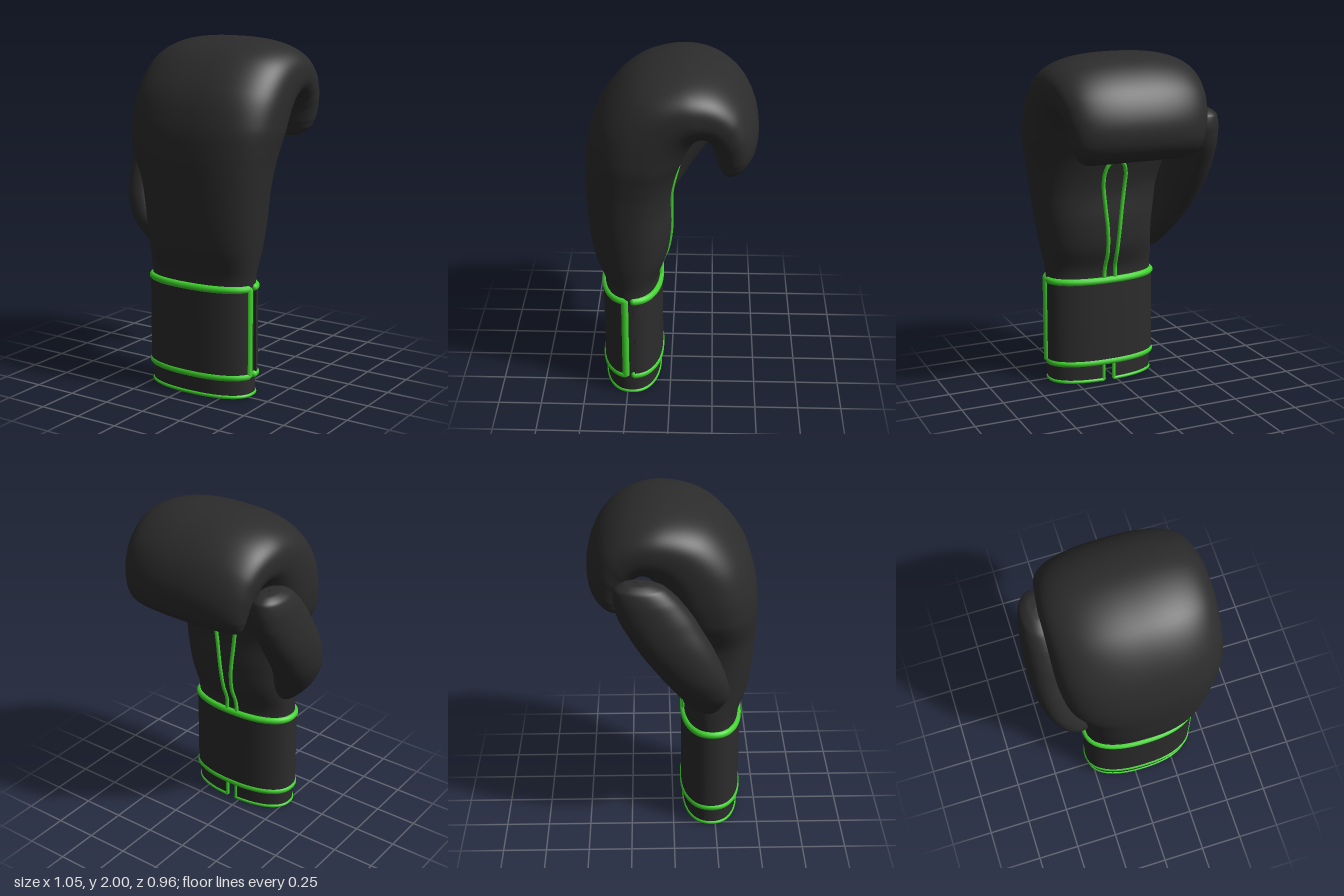
import * as THREE from 'three';
import { toCreasedNormals } from 'three/addons/utils/BufferGeometryUtils.js';

const V = (x, y, z) => new THREE.Vector3(x, y, z);

// unit superellipse point at angle a
function superEllipse(a, n) {
  const c = Math.cos(a), s = Math.sin(a);
  const r = Math.pow(Math.abs(c) ** n + Math.abs(s) ** n, -1 / n);
  return [c * r, s * r];
}

// closed skin over rings: fn(angle, v) -> Vector3
function loft(fn, nu, nv) {
  const pos = [], idx = [];
  for (let j = 0; j <= nv; j++)
    for (let i = 0; i < nu; i++) pos.push(...fn((i / nu) * Math.PI * 2, j / nv).toArray());
  for (let j = 0; j < nv; j++)
    for (let i = 0; i < nu; i++) {
      const k = (i + 1) % nu;
      const a = j * nu + i, b = a + nu, c = j * nu + k, d = c + nu;
      idx.push(a, b, c, c, b, d);
    }
  const g = new THREE.BufferGeometry();
  g.setAttribute('position', new THREE.Float32BufferAttribute(pos, 3));
  g.setIndex(idx);
  g.computeVertexNormals();
  return g;
}

// hand sections: back z, back y, palm z, palm y, half width, centre x, squareness
const HAND = [
  [0.385, 0.60, 0.065, 0.60, 0.325, 0.055, 2.3],
  [0.39, 0.70, 0.065, 0.70, 0.33, 0.057, 2.3],
  [0.44, 0.85, 0.015, 0.85, 0.345, 0.07, 2.35],
  [0.465, 1.00, 0.0, 1.00, 0.36, 0.078, 2.4],
  [0.477, 1.20, 0.0, 1.20, 0.385, 0.08, 2.45],
  [0.48, 1.39, -0.04, 1.37, 0.436, 0.058, 2.5],
  [0.46, 1.56, -0.085, 1.48, 0.458, 0.06, 2.5],
  [0.385, 1.75, -0.125, 1.56, 0.462, 0.06, 2.5],
  [0.20, 1.935, -0.155, 1.60, 0.46, 0.06, 2.5],
  [-0.05, 2.0, -0.175, 1.615, 0.455, 0.058, 2.5],
  [-0.25, 1.96, -0.19, 1.61, 0.44, 0.055, 2.5],
  [-0.40, 1.84, -0.205, 1.59, 0.425, 0.053, 2.5],
  [-0.475, 1.68, -0.22, 1.55, 0.405, 0.052, 2.4],
  [-0.475, 1.55, -0.235, 1.49, 0.385, 0.052, 2.4],
  [-0.435, 1.478, -0.252, 1.445, 0.355, 0.052, 2.3],
  [-0.375, 1.44, -0.272, 1.42, 0.31, 0.052, 2.3],
  [-0.31, 1.419, -0.31, 1.419, 0.25, 0.052, 2.3],
];
const backLine = new THREE.CatmullRomCurve3(HAND.map(r => V(0, r[1], r[0])));
const palmLine = new THREE.CatmullRomCurve3(HAND.map(r => V(0, r[3], r[2])));
const widthLine = new THREE.CatmullRomCurve3(HAND.map(r => V(r[4], r[5], r[6])));

function handPoint(a, v) {
  const o = backLine.getPoint(v), p = palmLine.getPoint(v), w = widthLine.getPoint(v);
  const [c, s] = superEllipse(a, w.z);
  const q = o.clone().add(p).multiplyScalar(0.5).addScaledVector(o.sub(p), s / 2);
  q.x = w.y + w.x * c;
  return q;
}

// point just off the palm surface at a given x and y
function palmPoint(x, y) {
  let lo = 0, hi = 6 / (HAND.length - 1);
  for (let i = 0; i < 30; i++) {
    const m = (lo + hi) / 2;
    if (palmLine.getPoint(m).y < y) lo = m; else hi = m;
  }
  const o = backLine.getPoint(lo), p = palmLine.getPoint(lo), w = widthLine.getPoint(lo);
  const k = Math.pow(1 - Math.abs((x - w.y) / w.x) ** w.z, 1 / w.z);
  return V(x, y, (o.z + p.z) / 2 + ((p.z - o.z) / 2) * k - 0.002);
}

// thumb sections: y, centre x, centre z, half x, half z
const THUMB = [
  [0.785, -0.255, 0.19, 0.005, 0.01],
  [0.80, -0.26, 0.19, 0.04, 0.05],
  [0.86, -0.285, 0.185, 0.08, 0.095],
  [0.96, -0.33, 0.165, 0.11, 0.145],
  [1.10, -0.38, 0.105, 0.12, 0.18],
  [1.30, -0.4, -0.005, 0.125, 0.205],
  [1.45, -0.395, -0.09, 0.123, 0.205],
  [1.57, -0.392, -0.15, 0.113, 0.178],
  [1.645, -0.395, -0.185, 0.088, 0.135],
  [1.675, -0.395, -0.20, 0.045, 0.07],
  [1.68, -0.395, -0.205, 0.003, 0.005],
];
const thumbCentre = new THREE.CatmullRomCurve3(THUMB.map(r => V(r[1], r[0], r[2])));
const thumbSize = new THREE.CatmullRomCurve3(THUMB.map(r => V(r[3], 0, r[4])));
function thumbPoint(a, v) {
  const [c, s] = superEllipse(a, 2.15);
  const h = thumbSize.getPoint(v);
  return thumbCentre.getPoint(v).add(V(h.x * c, 0, h.z * s));
}

// wrist ring point, grow = offset from the sleeve surface
function ring(a, y, grow = 0) {
  const [c, s] = superEllipse(a, 2.3);
  return V(0.055 + (0.326 + grow) * c, y, 0.225 + (0.16 + grow) * s);
}
function arc(a0, a1, y, grow, n = 96) {
  return Array.from({ length: n + 1 }, (_, i) => ring(a0 + ((a1 - a0) * i) / n, y, grow));
}
// open band around the wrist with real thickness
function band(a0, a1, y0, y1, inner, outer) {
  const pts = [...arc(a0, a1, 0, outer), ...arc(a0, a1, 0, inner).reverse()];
  const shape = new THREE.Shape(pts.map(p => new THREE.Vector2(p.x, -p.z)));
  const g = new THREE.ExtrudeGeometry(shape, { depth: y1 - y0, bevelEnabled: false });
  g.rotateX(-Math.PI / 2).translate(0, y0, 0);
  return toCreasedNormals(g, 0.6);
}
function tube(points, r, segs = 360) {
  return new THREE.TubeGeometry(new THREE.CatmullRomCurve3(points), segs, r, 10);
}

export function createModel() {
  const group = new THREE.Group();
  const black = new THREE.MeshStandardMaterial({ color: 0x2c2c2c, side: THREE.DoubleSide });
  black.name = 'black leather';
  const green = new THREE.MeshStandardMaterial({ color: 0x3fd42c });
  green.name = 'green piping';
  const add = (name, geo, mat) => {
    const m = new THREE.Mesh(geo, mat);
    m.name = name;
    group.add(m);
    return m;
  };

  // padded hand and thumb
  add('hand', loft(handPoint, 96, 120), black);
  add('thumb', loft(thumbPoint, 48, 60), black);

  // sleeve, slit at the palm side
  const slit = -Math.PI / 2, gap = 0.1, s0 = slit + gap, s1 = slit + Math.PI * 2 - gap;
  add('sleeve', band(s0, s1, 0.008, 0.66, -0.018, 0), black);
  const rim = arc(s0, s1, 0.011, -0.004);
  const up = a => [0.13, 0.09, 0.05, 0.02].map(y => ring(a, y, -0.004));
  add('sleevePiping', tube([...up(s0), ...rim, ...up(s1).reverse()], 0.011), green);

  // wrist strap with piping on three edges
  const a0 = 0.2, a1 = Math.PI * 2 - 0.115, lowY = 0.128, highY = 0.636, bead = 0.021;
  add('strap', band(a0, a1, lowY, highY, -0.002, 0.014), black);
  const low = arc(a0, a1, lowY, 0.001), high = arc(a0, a1, highY, 0.001);
  const edge = Array.from({ length: 15 }, (_, i) => ring(a0, lowY + 0.015 + (i / 14) * (highY - lowY - 0.03), 0.002));
  add('strapPiping', tube([...low.reverse(), ...edge, ...high], bead, 480), green);
  for (const y of [lowY, highY]) {
    const cap = add('pipingEnd', new THREE.SphereGeometry(bead, 12, 8), green);
    cap.position.copy(ring(a1, y, 0.001));
  }

  // piping loop on the palm: y, half width
  const side = [[0.64, 0.036], [0.72, 0.032], [0.82, 0.03], [0.95, 0.037], [1.1, 0.053], [1.22, 0.066],
    [1.3, 0.066], [1.355, 0.045]];
  const cx = 0.05;
  const loop = [...side.map(([y, w]) => palmPoint(cx - w, y)), palmPoint(cx, 1.38),
    ...side.map(([y, w]) => palmPoint(cx + w, y)).reverse()];
  add('palmPiping', tube(loop, 0.012, 160), green);

  return group;
}
